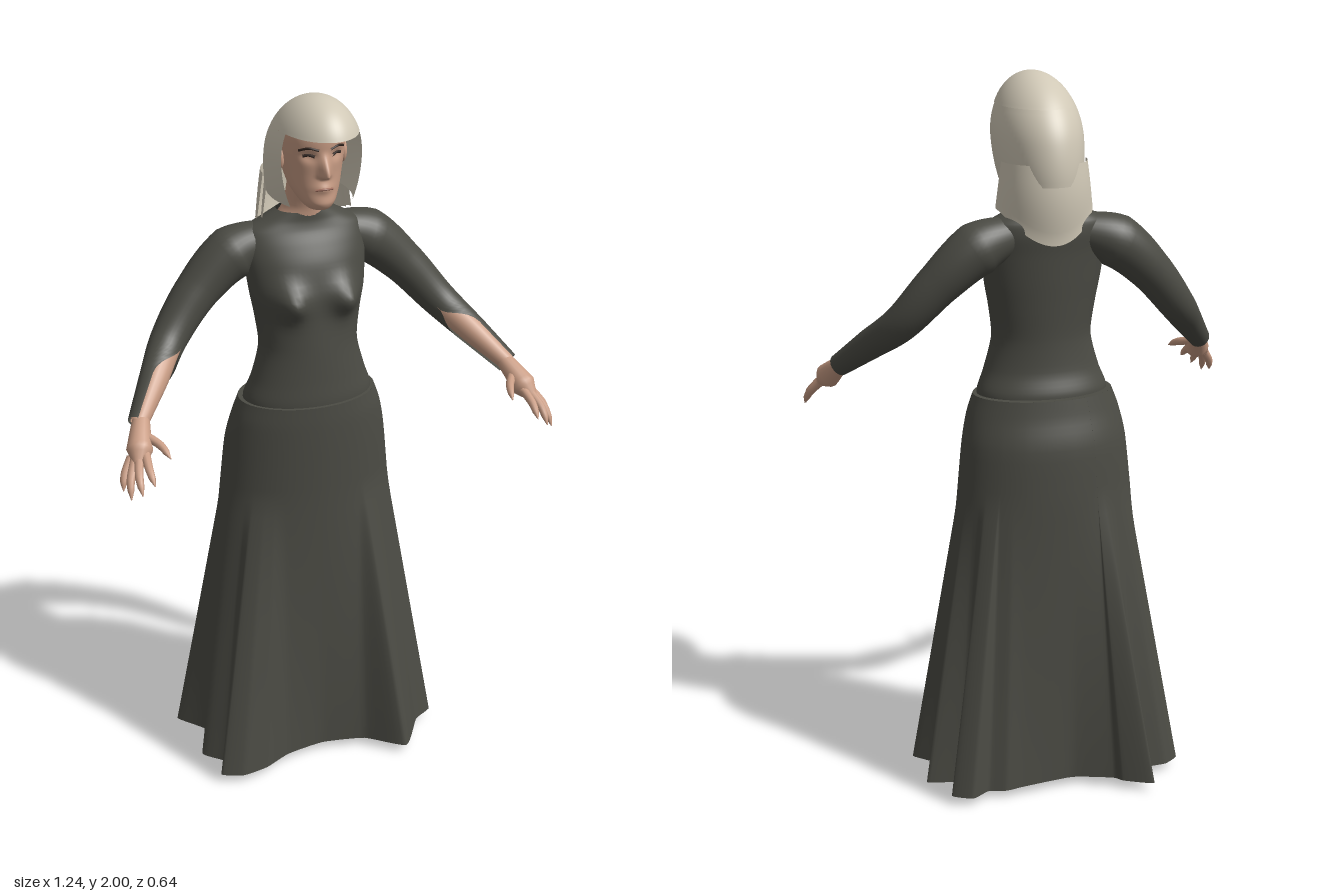
import * as THREE from 'three';
import { mergeVertices } from 'three/addons/utils/BufferGeometryUtils.js';

const mat = (name, color) => {
  const m = new THREE.MeshStandardMaterial({ color, side: THREE.DoubleSide });
  m.name = name;
  return m;
};
const V = (x, y, z) => new THREE.Vector3(x, y, z);
const bump = (d, w) => Math.exp(-(d * d) / (w * w));
const { lerp, clamp, smoothstep } = THREE.MathUtils;

// Smooth grid surface from a rule fn(u, v) -> Vector3
function surface(fn, nu, nv) {
  const pos = [], index = [];
  for (let j = 0; j <= nv; j++)
    for (let i = 0; i <= nu; i++) pos.push(...fn(i / nu, j / nv).toArray());
  for (let j = 0; j < nv; j++)
    for (let i = 0; i < nu; i++) {
      const a = j * (nu + 1) + i, b = a + nu + 1;
      index.push(a, a + 1, b, a + 1, b + 1, b);
    }
  let g = new THREE.BufferGeometry();
  g.setAttribute('position', new THREE.Float32BufferAttribute(pos, 3));
  g.setIndex(index);
  g = mergeVertices(g, 1e-5);
  g.computeVertexNormals();
  return g;
}

// Oval cross-sections; each row is [y, halfWidth, zFront, zBack]
function ovals(rows) {
  const front = new THREE.CatmullRomCurve3(rows.map(r => V(r[1], r[0], r[2])), false, 'catmullrom', 0.4);
  const back = new THREE.CatmullRomCurve3(rows.map(r => V(r[1], r[0], r[3])), false, 'catmullrom', 0.4);
  return (ang, v) => {
    const a = front.getPoint(v), b = back.getPoint(v);
    return V(a.x * Math.sin(ang), a.y, (a.z + b.z) / 2 + (a.z - b.z) / 2 * Math.cos(ang));
  };
}

// Tapered limb along a path; gap(v) opens it on the inner front side
function sweep(points, radii, nu, nv, gap = () => 0) {
  const path = new THREE.CatmullRomCurve3(points.map(p => V(...p)));
  return surface((u, v) => {
    const c = path.getPoint(v), t = path.getTangent(v);
    const e = V(-0.6, 0, 0.8).addScaledVector(t, -t.dot(V(-0.6, 0, 0.8))).normalize();
    const f = V(0, 0, 0).crossVectors(t, e);
    const k = v * (radii.length - 1), i = Math.min(Math.floor(k), radii.length - 2);
    const r = lerp(radii[i], radii[i + 1], k - i);
    const a = lerp(gap(v), Math.PI * 2 - gap(v), u);
    return c.addScaledVector(e, r * Math.cos(a)).addScaledVector(f, r * Math.sin(a));
  }, nu, nv);
}

export function createModel() {
  const model = new THREE.Group();
  const dress = mat('charcoal cloth', 0x4b4b44);
  const linen = mat('pale linen', 0xd0c8b6);
  const skin = mat('skin', 0xc99d85);
  const leather = mat('brown leather', 0x5b3a1f);
  const dark = mat('dark hair', 0x32251f);
  const lip = mat('lips', 0xa3705f);
  const add = (parent, name, geo, material) => {
    const m = new THREE.Mesh(geo, material);
    m.name = name;
    parent.add(m);
    return m;
  };

  // Bodice
  const torso = ovals([
    [1.08, 0.18, 0.085, -0.14], [1.14, 0.185, 0.09, -0.148], [1.2, 0.163, 0.086, -0.13],
    [1.29, 0.14, 0.08, -0.125], [1.38, 0.15, 0.073, -0.13], [1.45, 0.163, 0.07, -0.135],
    [1.53, 0.172, 0.05, -0.14], [1.58, 0.175, 0.027, -0.145], [1.615, 0.165, 0.008, -0.142],
    [1.64, 0.12, 0, -0.13], [1.665, 0.075, -0.002, -0.115]]);
  add(model, 'bodice', surface((u, v) => {
    const p = torso(u * Math.PI * 2, v);
    if (p.z > -0.03) p.z += 0.045 * bump(Math.abs(p.x) - 0.08, 0.04) * bump(p.y - 1.435, 0.045);
    return p;
  }, 64, 48), dress);

  // Skirt: oval at the hips, flaring in a straight line to a folded hem
  const hem = [[0, 0.1], [0.125, 0.125], [0.228, 0.204], [0.31, 0.09], [0.37, 0.05], [0.31, -0.02],
    [0.344, -0.08], [0.37, -0.125], [0.284, -0.148], [0.27, -0.165], [0.324, -0.224], [0.27, -0.257],
    [0.217, -0.227], [0.168, -0.24], [0.11, -0.23], [-0.035, -0.215], [-0.145, -0.254], [-0.168, -0.28],
    [-0.247, -0.32], [-0.24, -0.224], [-0.32, -0.215], [-0.367, -0.175], [-0.3, -0.08], [-0.354, 0.025],
    [-0.304, 0.085], [-0.334, 0.144], [-0.274, 0.171], [-0.198, 0.158], [-0.115, 0.118]];
  const hemLine = new THREE.CatmullRomCurve3(hem.map(p => V(p[0], 0.025, p[1])), true, 'catmullrom', 0.25);
  const hips = ovals([[1.135, 0.197, 0.1, -0.17], [1.08, 0.217, 0.102, -0.18],
    [1.0, 0.234, 0.102, -0.2], [0.85, 0.25, 0.1, -0.207]]);
  add(model, 'skirt', surface((u, v) => {
    const h = hemLine.getPoint(u % 1);
    const ang = Math.atan2(h.x / 0.36, (h.z + 0.05) / 0.25);
    if (v < 0.4) return hips(ang, v / 0.4);
    return hips(ang, 1).lerp(h, (v - 0.4) / 0.6);
  }, 174, 30), dress);
  // Waist edge closing the gap to the bodice
  add(model, 'waistEdge', surface((u, v) => {
    const p = hips(u * Math.PI * 2, 0);
    return V(p.x * lerp(1, 0.85, v), p.y, lerp(p.z, -0.035, v * 0.2));
  }, 48, 1), dress);

  // Head with brow, nose and lips raised from oval sections
  const skull = ovals([[1.7, 0.005, 0.07, 0.05], [1.703, 0.03, 0.092, 0.015], [1.722, 0.048, 0.104, -0.02],
    [1.755, 0.066, 0.1, -0.06], [1.8, 0.078, 0.099, -0.09], [1.85, 0.086, 0.102, -0.1],
    [1.9, 0.086, 0.104, -0.1], [1.94, 0.07, 0.085, -0.08], [1.965, 0.005, 0.01, 0]]);
  const relief = (x, y) => {
    const nose = y > 1.8 ? 1 - smoothstep(y, 1.8, 1.868) : 1 - smoothstep(1.8 - y, 0, 0.014);
    return 0.034 * nose * bump(x, 0.013) + 0.007 * bump(x, 0.025) * bump(y - 1.762, 0.013)
      - 0.009 * bump(Math.abs(x) - 0.038, 0.018) * bump(y - 1.85, 0.014);
  };
  add(model, 'head', surface((u, v) => {
    const p = skull(u * Math.PI * 2, v);
    if (p.z > 0.02) p.z += relief(p.x, p.y);
    return p;
  }, 96, 80), skin);
  // Point on the face, found by searching the sections for a height
  const onFace = (x, y) => {
    let lo = 0, hi = 1;
    for (let i = 0; i < 24; i++) {
      const mid = (lo + hi) / 2;
      if (skull(0, mid).y < y) lo = mid; else hi = mid;
    }
    const w = skull(Math.PI / 2, lo).x;
    return V(x, y, skull(Math.asin(clamp(x / w, -1, 1)), lo).z + relief(x, y));
  };
  const faceLine = (name, pts, r, material) => add(model, name, new THREE.TubeGeometry(
    new THREE.CatmullRomCurve3(pts.map(p => onFace(...p))), 12, r, 6), material);
  for (const s of [1, -1]) {
    const side = s > 0 ? 'left' : 'right';
    faceLine(side + 'Eyebrow', [[s * 0.016, 1.868], [s * 0.04, 1.874], [s * 0.062, 1.866]], 0.0035, dark);
    faceLine(side + 'Eye', [[s * 0.024, 1.85], [s * 0.038, 1.854], [s * 0.052, 1.851]], 0.0045, dark);
    const ear = add(model, side + 'Ear', new THREE.SphereGeometry(1, 16, 12), skin);
    ear.scale.set(0.012, 0.034, 0.022);
    ear.position.set(s * 0.088, 1.83, 0);
  }
  faceLine('mouth', [[-0.024, 1.76], [0, 1.763], [0.024, 1.76]], 0.0035, lip);

  // Neck
  const neck = ovals([[1.6, 0.1, -0.01, -0.11], [1.65, 0.075, -0.002, -0.11], [1.685, 0.056, 0.004, -0.1],
    [1.76, 0.052, 0.03, -0.08]]);
  add(model, 'neck', surface((u, v) => neck(u * Math.PI * 2, v), 32, 12), skin);

  // Cap: dome above the brow, then a curtain round the sides and back
  const capAt = (ang, y) => {
    const d = y - 1.83, k = Math.sqrt(Math.max(0, 1 - (d / (d > 0 ? 0.17 : 0.25)) ** 2));
    return V(0.12 * k * Math.sin(ang), y, 0.015 + d * 0.25 + 0.18 * k * Math.cos(ang));
  };
  add(model, 'capDome', surface((u, v) =>
    capAt(u * Math.PI * 2, 1.83 + 0.17 * Math.cos(v * Math.acos(0.085 / 0.17))), 64, 20), linen);
  add(model, 'capCurtain', surface((u, v) => {
    const y = lerp(1.915, 1.718, v), mid = capAt(Math.PI / 2, y).z, reach = capAt(0, y).z - mid;
    const open = Math.acos(clamp((0.08 - mid) / reach, -1, 1));
    return capAt(lerp(open, Math.PI * 2 - open, u), y);
  }, 48, 16), linen);

  // Veil hanging behind the neck, longest in the middle
  for (const [name, inset] of [['veilOuter', 0], ['veilInner', 0.015]])
    add(model, name, surface((u, v) => {
      const a = lerp(-Math.PI / 2, Math.PI / 2, u), c = Math.cos(a);
      const y = lerp(1.775, 1.65 - 0.09 * c * c, v);
      const belly = Math.sin(Math.min(1, v * 1.1) * Math.PI) * 0.01;
      return V((lerp(0.118, 0.135, v) - inset) * Math.sin(a), y,
        -0.045 - (lerp(0.118, 0.112, v) + belly - inset) * c);
    }, 32, 12), linen);

  // Arm with open sleeve, hand and shoe, built once for the left and mirrored
  const limbs = new THREE.Group();
  limbs.name = 'leftLimbs';
  add(limbs, 'sleeve', sweep([[0.09, 1.585, -0.07], [0.195, 1.55, -0.08], [0.3, 1.46, -0.07],
    [0.395, 1.35, -0.03], [0.465, 1.275, 0.055], [0.535, 1.2, 0.14]],
  [0.05, 0.074, 0.06, 0.05, 0.042, 0.031], 32, 40, v => 1.25 * smoothstep(v, 0.64, 0.8)), dress);
  add(limbs, 'forearm', sweep([[0.36, 1.39, -0.045], [0.395, 1.35, -0.03], [0.465, 1.275, 0.055],
    [0.535, 1.2, 0.14]], [0.03, 0.042, 0.037, 0.024], 20, 20), skin);
  add(limbs, 'palm', sweep([[0.525, 1.21, 0.128], [0.54, 1.185, 0.165], [0.555, 1.155, 0.205],
    [0.57, 1.128, 0.24]], [0.022, 0.028, 0.035, 0.012], 16, 12), skin);
  const fingers = {
    thumb: [[0.53, 1.18, 0.18], [0.503, 1.168, 0.225], [0.49, 1.148, 0.27]],
    indexFinger: [[0.545, 1.15, 0.225], [0.55, 1.128, 0.275], [0.548, 1.1, 0.315]],
    middleFinger: [[0.562, 1.145, 0.225], [0.578, 1.112, 0.275], [0.58, 1.075, 0.31]],
    ringFinger: [[0.572, 1.138, 0.22], [0.597, 1.1, 0.26], [0.605, 1.058, 0.288]],
    littleFinger: [[0.578, 1.138, 0.205], [0.605, 1.102, 0.23], [0.615, 1.068, 0.25]],
  };
  for (const [name, pts] of Object.entries(fingers))
    add(limbs, name, sweep(pts, [0.013, 0.012, 0.011, 0.009, 0.001], 10, 12), skin);

  const shoe = new THREE.SphereGeometry(1, 24, 16);
  const sp = shoe.attributes.position;
  for (let i = 0; i < sp.count; i++) {
    const z = sp.getZ(i), wide = 1 + 0.25 * z * (1 - z);
    sp.setXYZ(i, sp.getX(i) * 0.042 * wide, Math.max(0, 0.035 + sp.getY(i) * (0.05 - 0.018 * z)), z * 0.11);
  }
  shoe.computeVertexNormals();
  const foot = add(limbs, 'shoe', shoe, leather);
  foot.position.set(0.235, 0, 0.02);
  foot.rotation.y = 0.15;
  add(limbs, 'bootShaft', sweep([[0.225, 0.05, -0.04], [0.215, 0.15, -0.04], [0.195, 0.32, -0.04]],
    [0.032, 0.034, 0.045], 16, 8), leather);
  model.add(limbs);
  const mirrored = limbs.clone();
  mirrored.name = 'rightLimbs';
  mirrored.scale.x = -1;
  model.add(mirrored);
  return model;
}
